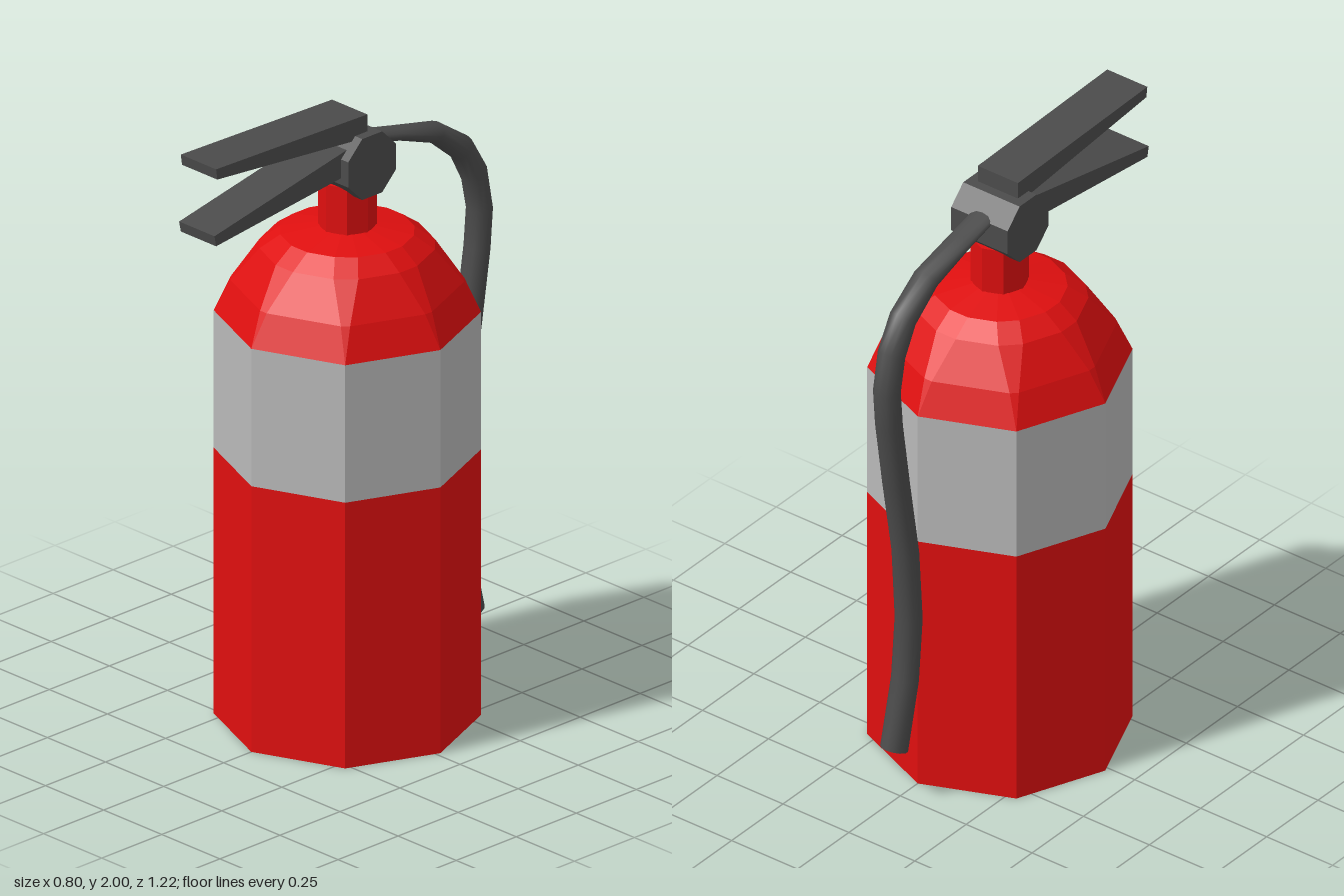
import * as THREE from 'three';
import { mergeVertices } from 'three/addons/utils/BufferGeometryUtils.js';

const AXIS_Z = -0.015; // centre line of the tank

// Sharp facets: every face gets its own normal
function faceted(geometry) {
  const g = geometry.index ? geometry.toNonIndexed() : geometry;
  g.computeVertexNormals();
  return g;
}

// Skin over equal-length rings of Vector3, optionally closed at the last ring
function loft(rings, capEnd = false) {
  const pos = [];
  const tri = (...pts) => pts.forEach((p) => pos.push(p.x, p.y, p.z));
  const n = rings[0].length;
  for (let i = 0; i < rings.length - 1; i++) {
    for (let j = 0; j < n; j++) {
      const k = (j + 1) % n;
      const a = rings[i][j], b = rings[i][k], c = rings[i + 1][k], d = rings[i + 1][j];
      tri(a, b, c);
      tri(a, c, d);
    }
  }
  if (capEnd) {
    const last = rings[rings.length - 1];
    for (let j = 1; j < n - 1; j++) tri(last[0], last[j], last[j + 1]);
  }
  const g = new THREE.BufferGeometry();
  g.setAttribute('position', new THREE.Float32BufferAttribute(pos, 3));
  return g;
}

export function createModel() {
  const model = new THREE.Group();
  model.name = 'fireExtinguisher';

  const material = (name, color) => {
    const m = new THREE.MeshStandardMaterial({ color });
    m.name = name;
    return m;
  };
  const red = material('red', 0xdf0f0f);
  const grey = material('lightGrey', 0xb8b8b8);
  const dark = material('darkGrey', 0x4b4b4b);

  const add = (name, geometry, mat) => {
    const mesh = new THREE.Mesh(geometry, mat);
    mesh.name = name;
    model.add(mesh);
    return mesh;
  };

  // Octagonal tank, label band and neck
  const prism = (name, r, y0, y1, mat, open) => {
    const g = new THREE.CylinderGeometry(r, r, y1 - y0, 8, 1, open);
    g.translate(0, (y0 + y1) / 2, AXIS_Z);
    add(name, faceted(g), mat);
  };
  prism('tank', 0.4, 0, 0.87, red, false);
  prism('labelBand', 0.4, 0.87, 1.32, grey, true);
  prism('neck', 0.088, 1.59, 1.76, red, false);

  // Dome: octagon whose corners split apart towards the top [radius, y, split]
  const domeRings = [
    [0.4, 1.32, 0], [0.35, 1.425, 0.04], [0.265, 1.54, 0.14],
    [0.203, 1.585, 0.17], [0.085, 1.607, 0.19],
  ].map(([r, y, split]) => {
    const ring = [];
    for (let i = 0; i < 8; i++) {
      for (const side of [-1, 1]) {
        const a = (i * Math.PI) / 4 + side * split;
        ring.push(new THREE.Vector3(r * Math.sin(a), y, AXIS_Z + r * Math.cos(a)));
      }
    }
    return ring;
  });
  add('dome', faceted(loft(domeRings)), red);

  // Valve: octagonal drum lying across the neck
  const valve = new THREE.CylinderGeometry(0.108, 0.108, 0.214, 8, 1, false, Math.PI / 8);
  valve.rotateZ(Math.PI / 2).translate(0, 1.83, AXIS_Z);
  add('valve', faceted(valve), dark);

  // Levers: side profiles (z, y) given thickness across x
  const lever = (name, points) => {
    const shape = new THREE.Shape(points.map(([z, y]) => new THREE.Vector2(z, y)));
    const g = new THREE.ExtrudeGeometry(shape, { depth: 0.152, bevelEnabled: false });
    g.translate(0, 0, -0.076).rotateY(-Math.PI / 2);
    add(name, faceted(g), dark);
  };
  lever('upperLever', [[-0.025, 1.91], [0.6, 1.965], [0.605, 2.0], [-0.025, 1.985]]);
  lever('lowerLever', [[0.0, 1.82], [0.605, 1.748], [0.612, 1.783], [0.06, 1.895], [0.0, 1.9]]);

  // Hose: outer and inner edge of each section [z, y, z, y]
  const hoseRings = [
    [-0.1, 1.888, -0.125, 1.845], [-0.21, 1.863, -0.215, 1.82],
    [-0.39, 1.825, -0.36, 1.765], [-0.515, 1.74, -0.46, 1.68],
    [-0.58, 1.63, -0.505, 1.59], [-0.605, 1.49, -0.525, 1.49],
    [-0.595, 1.36, -0.515, 1.37], [-0.56, 1.13, -0.48, 1.14],
    [-0.515, 0.87, -0.435, 0.865], [-0.5, 0.62, -0.418, 0.62],
    [-0.517, 0.42, -0.437, 0.4], [-0.57, 0.2, -0.49, 0.172],
  ].map(([zo, yo, zi, yi]) => {
    const ring = [];
    for (let j = 0; j < 12; j++) {
      const a = (j * Math.PI) / 6, c = Math.cos(a) / 2;
      ring.push(new THREE.Vector3(
        0.043 * Math.sin(a),
        (yo + yi) / 2 + c * (yo - yi),
        (zo + zi) / 2 + c * (zo - zi)));
    }
    return ring;
  });
  const hose = mergeVertices(loft(hoseRings));
  hose.computeVertexNormals();
  add('hose', hose, dark);
  add('hoseEnd', faceted(loft(hoseRings.slice(-1), true)), dark);

  return model;
}
